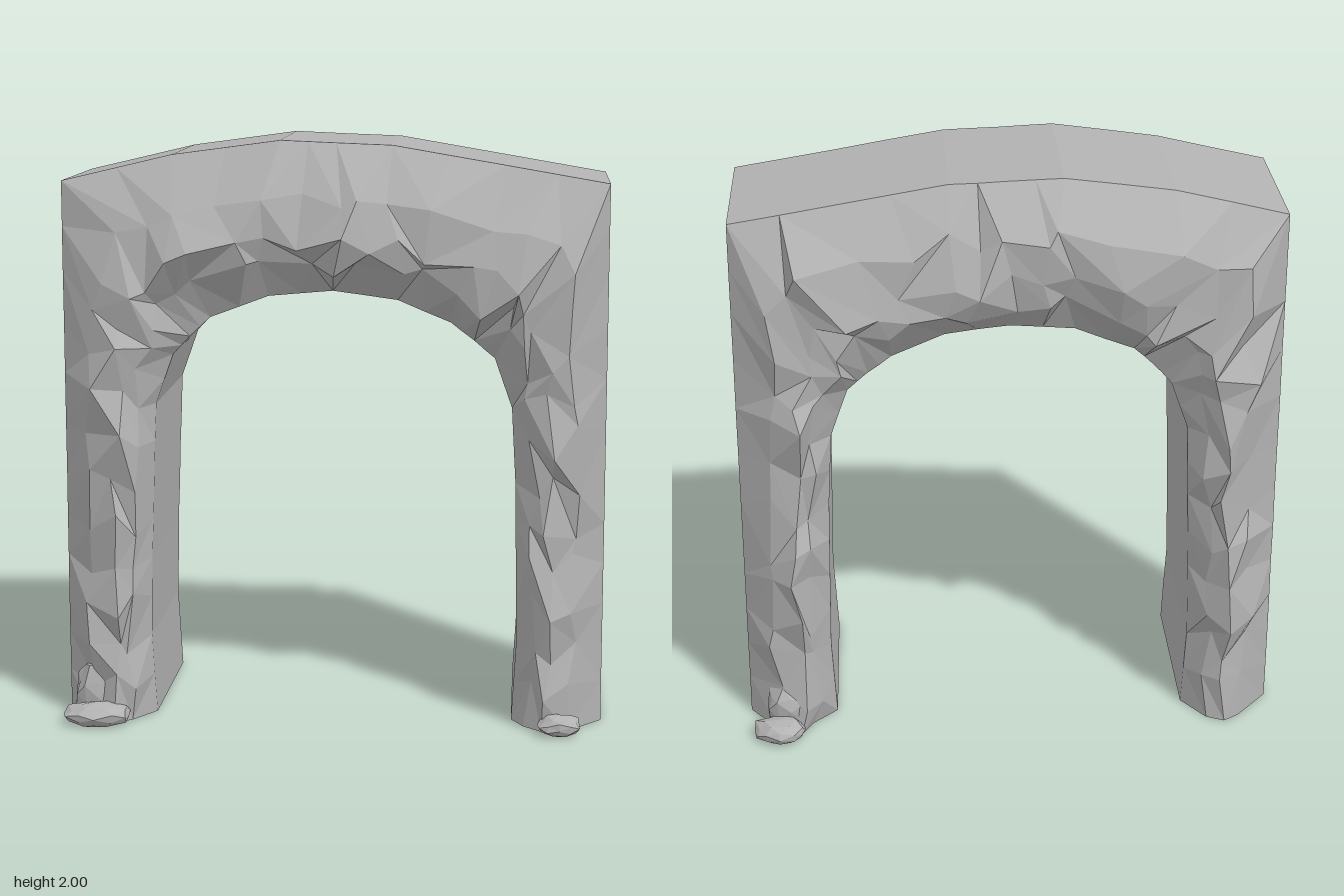
import * as THREE from 'three';

const stone = new THREE.MeshStandardMaterial({ color: 0xb2b2b2 });
stone.name = 'grey stone';

// Small seeded noise, -1 to 1
function makeNoise(seed) {
  return () => {
    seed = (seed * 16807) % 2147483647;
    return (seed / 2147483647) * 2 - 1;
  };
}

// Matching stations along the arch: [opening x, opening y, outside x, outside y]
const STATIONS = [
  [-0.62, 0, -0.93, 0], [-0.635, 0.28, -0.93, 0.28], [-0.63, 0.56, -0.93, 0.56],
  [-0.62, 0.84, -0.93, 0.84], [-0.61, 1.1, -0.93, 1.2], [-0.55, 1.27, -0.93, 1.55],
  [-0.49, 1.335, -0.93, 1.86], [-0.42, 1.4, -0.55, 1.95], [-0.22, 1.475, -0.18, 2.0],
  [0, 1.495, 0.01, 1.992], [0.22, 1.465, 0.2, 1.985], [0.4, 1.39, 0.58, 1.92],
  [0.48, 1.33, 0.93, 1.86], [0.55, 1.27, 0.93, 1.55], [0.61, 1.1, 0.93, 1.2],
  [0.625, 0.84, 0.93, 0.84], [0.63, 0.56, 0.93, 0.56], [0.635, 0.28, 0.93, 0.28],
  [0.62, 0, 0.93, 0],
];

// Half section: [fraction from opening to outside, z, roughness]
const SECTION = [
  [0, 0.31, 0.15], [0.2, 0.405, 0.8], [0.38, 0.44, 1], [0.66, 0.405, 0.9], [1, 0.286, 0.1],
];

function stationAt(s) {
  const i = Math.min(Math.floor(s), STATIONS.length - 2);
  return STATIONS[i].map((v, k) => THREE.MathUtils.lerp(v, STATIONS[i + 1][k], s - i));
}

function archGeometry() {
  const noise = makeNoise(4711);
  const last = STATIONS.length - 1;
  const rings = [];
  for (let s = 0; s <= last; s += 0.5) {
    const atFoot = s === 0 || s === last;
    const point = ([t, z, rough], side) => {
      const edge = t === 0 || t === 1;
      const slide = edge || atFoot ? 0 : noise() * 0.2;
      const f = edge ? t : t + noise() * 0.08;
      const [ix, iy, ox, oy] = stationAt(s + slide);
      return new THREE.Vector3(
        THREE.MathUtils.lerp(ix, ox, f),
        THREE.MathUtils.lerp(iy, oy, f),
        side * (z + noise() * 0.035 * rough)
      );
    };
    rings.push([
      ...SECTION.map((p) => point(p, 1)),
      ...[...SECTION].reverse().map((p) => point(p, -1)),
    ]);
  }

  const pos = [];
  const tri = (...pts) => pts.forEach((p) => pos.push(p.x, p.y, p.z));
  const n = rings[0].length;
  for (let r = 0; r < rings.length - 1; r++) {
    for (let k = 0; k < n; k++) {
      const a = rings[r][k], b = rings[r][(k + 1) % n];
      const a2 = rings[r + 1][k], b2 = rings[r + 1][(k + 1) % n];
      // Vary the diagonal for an irregular broken surface
      if (noise() > 0) { tri(a, a2, b2); tri(a, b2, b); }
      else { tri(a, a2, b); tri(a2, b2, b); }
    }
  }
  // Soles of both legs
  [rings[0], [...rings[rings.length - 1]].reverse()].forEach((ring) => {
    const mid = ring.reduce((m, p) => m.add(p), new THREE.Vector3()).divideScalar(n);
    ring.forEach((p, k) => tri(mid, p, ring[(k + 1) % n]));
  });

  const geo = new THREE.BufferGeometry();
  geo.setAttribute('position', new THREE.Float32BufferAttribute(pos, 3));
  geo.computeVertexNormals();
  return geo;
}

// Flat-bottomed faceted rock
function rockGeometry(rx, ry, rz, seed) {
  const geo = new THREE.IcosahedronGeometry(1, 1);
  const p = geo.attributes.position;
  const noise = makeNoise(seed);
  const scales = new Map();
  for (let i = 0; i < p.count; i++) {
    const key = [p.getX(i), p.getY(i), p.getZ(i)].map((v) => Math.round(v * 100)).join();
    if (!scales.has(key)) scales.set(key, 0.94 + noise() * 0.1);
    const k = scales.get(key);
    p.setXYZ(i, p.getX(i) * rx * k, Math.max(0, (p.getY(i) * 0.55 + 0.45) * ry * k), p.getZ(i) * rz * k);
  }
  geo.computeVertexNormals();
  return geo;
}

export function createModel() {
  const model = new THREE.Group();
  model.name = 'stoneArch';
  const add = (name, geo, x = 0, z = 0) => {
    const mesh = new THREE.Mesh(geo, stone);
    mesh.name = name;
    mesh.position.set(x, 0, z);
    model.add(mesh);
  };

  add('arch', archGeometry());

  // Loose rocks at the feet: name, x, z, half width, height, half depth
  [
    ['frontRightRock', -0.805, 0.47, 0.125, 0.08, 0.08],
    ['frontRightShard', -0.81, 0.37, 0.1, 0.21, 0.07],
    ['frontLeftRock', 0.785, 0.46, 0.08, 0.07, 0.075],
    ['backLeftRock', 0.82, -0.475, 0.105, 0.075, 0.08],
    ['backLeftShard', 0.78, -0.39, 0.1, 0.2, 0.07],
  ].forEach(([name, x, z, rx, ry, rz], i) => add(name, rockGeometry(rx, ry, rz, 101 + i * 977), x, z));

  return model;
}
